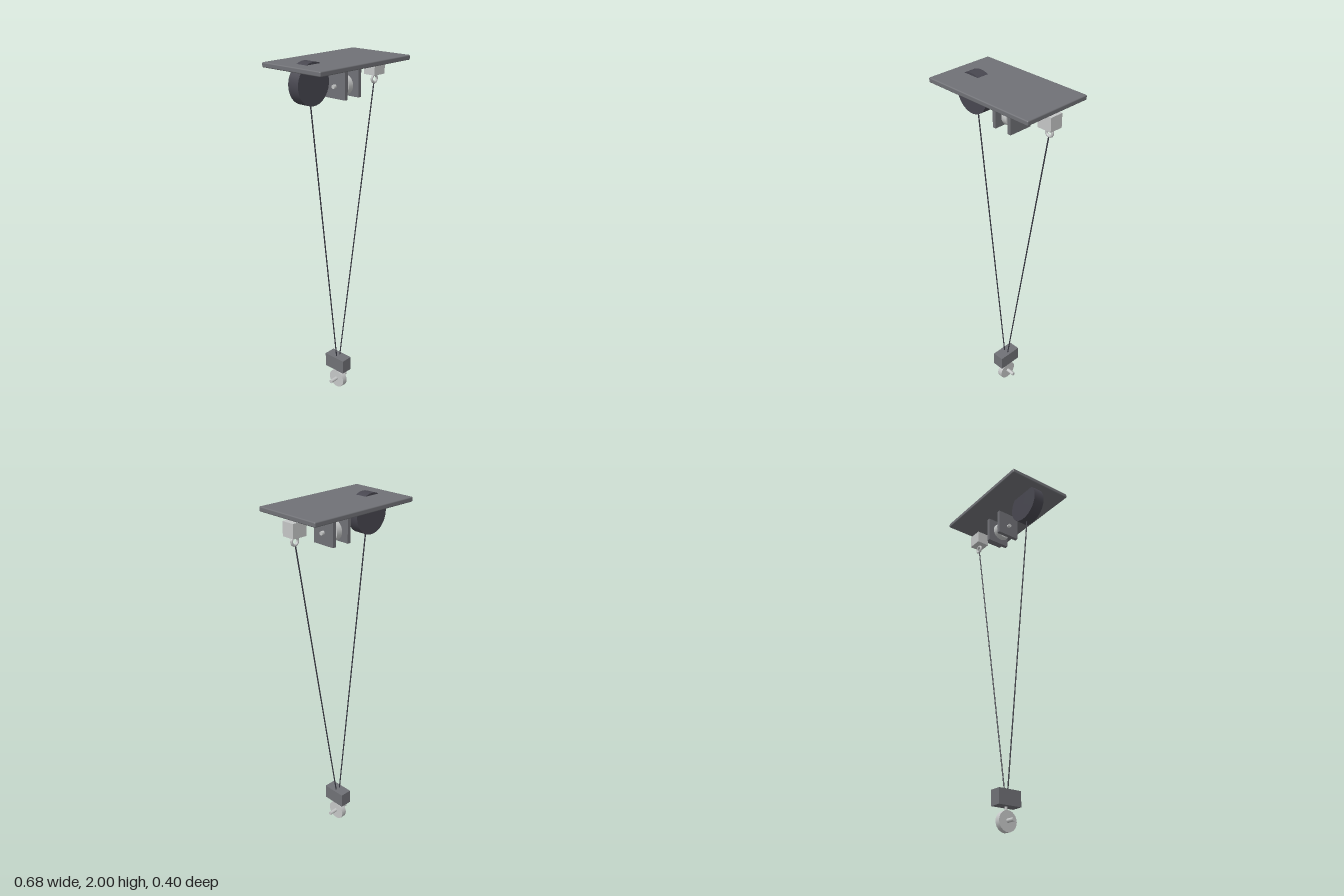
import * as THREE from 'three';
import { RoundedBoxGeometry } from 'three/addons/geometries/RoundedBoxGeometry.js';

const material = (name, color) => {
  const m = new THREE.MeshStandardMaterial({ color });
  m.name = name;
  return m;
};

export function createModel() {
  const group = new THREE.Group();
  group.name = 'hoist';
  const frame = material('frame grey', 0x707176);
  const drumDark = material('drum charcoal', 0x484750);
  const steel = material('light steel', 0xc4c6c6);
  const cable = material('cable dark', 0x3a3a44);

  const add = (name, geometry, mat, x = 0, y = 0, z = 0) => {
    const mesh = new THREE.Mesh(geometry, mat);
    mesh.name = name;
    mesh.position.set(x, y, z);
    group.add(mesh);
    return mesh;
  };
  const box = (name, w, h, d, mat, x, y) => add(name, new THREE.BoxGeometry(w, h, d), mat, x, y);
  // Cylinder lying along x
  const rod = (name, r, length, sides, x, y) =>
    add(name, new THREE.CylinderGeometry(r, r, length, sides).rotateZ(Math.PI / 2), steel, x, y);
  // Thin cylinder between two points in the z = 0 plane
  const rope = (name, x1, y1, x2, y2) => {
    const a = new THREE.Vector3(x1, y1, 0), b = new THREE.Vector3(x2, y2, 0);
    const mesh = add(name, new THREE.CylinderGeometry(0.0035, 0.0035, a.distanceTo(b), 8), cable);
    mesh.position.copy(a).lerp(b, 0.5);
    mesh.quaternion.setFromUnitVectors(new THREE.Vector3(0, 1, 0), a.sub(b).normalize());
  };

  // Mounting plate
  add('mountingPlate', new RoundedBoxGeometry(0.682, 0.026, 0.402, 2, 0.006), frame, 0, 1.975);

  // Winding drum, its top rising through the plate
  add('drum', new THREE.CylinderGeometry(0.109, 0.109, 0.068, 40).rotateX(Math.PI / 2), drumDark, -0.214, 1.891);

  // Upper pulley between two cheek plates
  for (const [name, x] of [['rightCheek', -0.013], ['leftCheek', 0.091]])
    box(name, 0.021, 0.153, 0.138, frame, x, 1.861);
  rod('upperPulley', 0.053, 0.035, 24, 0.039, 1.848);
  rod('upperAxle', 0.011, 0.157, 12, 0.039, 1.848);

  // Cable anchor and its eye
  box('anchorBlock', 0.085, 0.075, 0.076, steel, 0.29, 1.909);
  add('anchorEye', new THREE.TorusGeometry(0.02, 0.007, 10, 24), steel, 0.291, 1.846);

  // Cables
  rope('drumCable', -0.206, 1.79, -0.012, 0.2);
  rope('anchorCable', 0.288, 1.825, 0.012, 0.2);

  // Lower block with its wheel
  box('lowerBlock', 0.07, 0.085, 0.142, frame, 0, 0.174);
  add('hangerPin', new THREE.CylinderGeometry(0.008, 0.008, 0.04, 10), steel, 0, 0.118);
  rod('lowerWheel', 0.056, 0.031, 24, 0, 0.056);
  rod('lowerAxle', 0.011, 0.135, 12, 0, 0.058);

  return group;
}
